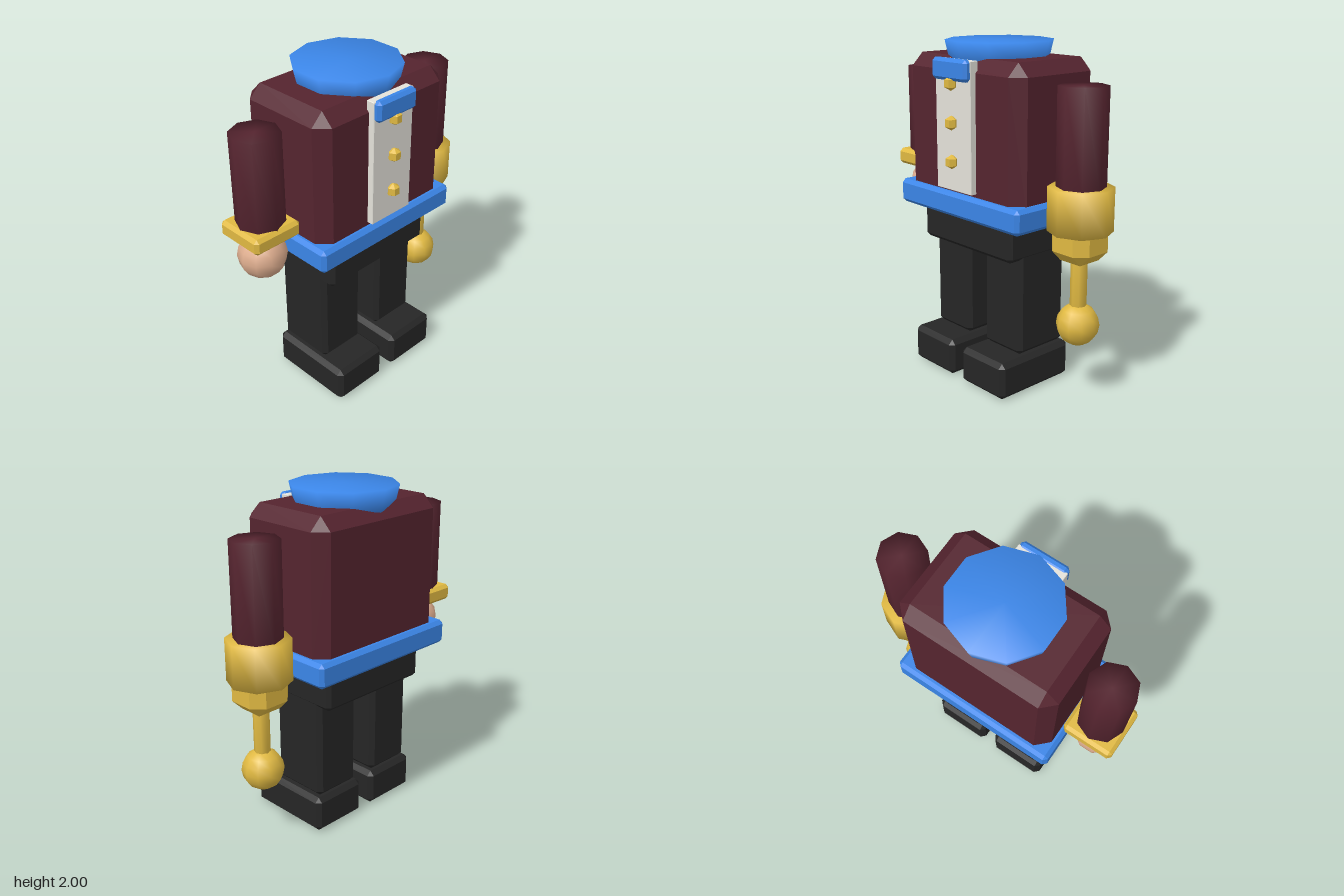
import * as THREE from 'three';
import { ConvexGeometry } from 'three/addons/geometries/ConvexGeometry.js';

function makeMaterial(name, color) {
  const m = new THREE.MeshStandardMaterial({ color });
  m.name = name;
  return m;
}

// Box given by its limits, with every edge cut by a single flat bevel
function bevelBox([x0, x1], [y0, y1], [z0, z1], b) {
  const c = [(x0 + x1) / 2, (y0 + y1) / 2, (z0 + z1) / 2];
  const h = [(x1 - x0) / 2, (y1 - y0) / 2, (z1 - z0) / 2];
  const points = [];
  for (const sx of [-1, 1]) for (const sy of [-1, 1]) for (const sz of [-1, 1]) {
    for (let axis = 0; axis < 3; axis++) {
      const s = [sx, sy, sz];
      const p = s.map((sign, i) => c[i] + sign * (h[i] - (i === axis ? 0 : b)));
      points.push(new THREE.Vector3(...p));
    }
  }
  return new ConvexGeometry(points);
}

// Turned solid with soft shading over its rims
function turned(profile, sides) {
  return new THREE.LatheGeometry(profile.map(([r, y]) => new THREE.Vector2(r, y)), sides);
}

function softCylinder(r, y0, y1, sides = 8) {
  return turned([[0, y0], [r, y0], [r, y1], [0, y1]], sides);
}

export function createModel() {
  const maroon = makeMaterial('maroon coat', 0x55242f);
  const blue = makeMaterial('blue trim', 0x3b86e8);
  const gold = makeMaterial('gold', 0xe0b942);
  const cream = makeMaterial('cream shirt', 0xe4e2da);
  const black = makeMaterial('black cloth', 0x262626);
  const skin = makeMaterial('skin', 0xdfae8f);

  const model = new THREE.Group();
  model.name = 'toySoldier';
  const add = (name, geometry, material, x = 0, y = 0, z = 0) => {
    const mesh = new THREE.Mesh(geometry, material);
    mesh.name = name;
    mesh.position.set(x, y, z);
    model.add(mesh);
  };
  const midX = -0.015, armZ = -0.027;

  // Legs and shoes, mirrored about the body's centre line
  for (const [side, s] of [['left', 1], ['right', -1]]) {
    const span = (a, b) => (s > 0 ? [midX + a, midX + b] : [midX - b, midX - a]);
    add(side + 'Shoe', bevelBox(span(0.04, 0.405), [0, 0.222], [-0.225, 0.327], 0.028), black);
    add(side + 'Leg', bevelBox(span(0.068, 0.375), [0.222, 0.86], [-0.205, 0.162], 0.028), black);
  }
  add('hips', bevelBox([-0.397, 0.366], [0.802, 1.08], [-0.288, 0.245], 0.024), black);

  // Coat and belt
  add('torso', bevelBox([-0.495, 0.465], [1.03, 1.915], [-0.337, 0.287], 0.073), maroon);
  add('belt', bevelBox([-0.53, 0.5], [1.008, 1.152], [-0.375, 0.322], 0.022), blue);

  // Shirt front, collar and buttons
  add('shirtFront', bevelBox([-0.163, 0.135], [1.17, 1.908], [0.27, 0.324], 0.003), cream);
  add('collar', bevelBox([-0.16, 0.132], [1.795, 1.915], [0.303, 0.36], 0.018), blue);
  for (const y of [1.34, 1.56, 1.78]) {
    const button = new THREE.SphereGeometry(0.042, 6, 3).toNonIndexed();
    button.computeVertexNormals();
    add('button', button, gold, midX, y, 0.336);
  }

  // Rounded neck bowl sunk into the shoulders
  add('neck', turned([[0, 1.78], [0.2, 1.78], [0.285, 1.88], [0.3125, 2], [0, 2]], 10),
    blue, midX, 0, -0.026);

  // Right arm with a square cuff and a hand
  add('rightArm', softCylinder(0.138, 1.2, 1.8), maroon, -0.662, 0, armZ);
  add('rightCuff', bevelBox([-0.818, -0.507], [1.172, 1.27], [-0.183, 0.125], 0.02), gold);
  add('rightHand', new THREE.SphereGeometry(0.14, 10, 8), skin, -0.664, 1.055, armZ);

  // Left arm with a mace in place of a hand
  const maceX = 0.634;
  add('leftArm', softCylinder(0.138, 1.2, 1.8), maroon, maceX, 0, armZ);
  add('leftCuff', softCylinder(0.183, 1.008, 1.258), gold, maceX, 0, armZ);
  add('maceSocket', bevelBox([maceX - 0.138, maceX + 0.138], [0.84, 1.12],
    [armZ - 0.138, armZ + 0.138], 0.064), gold);
  add('maceRod', softCylinder(0.047, 0.5, 0.9), gold, maceX, 0, armZ);
  add('maceBall', new THREE.SphereGeometry(0.123, 10, 8), gold, maceX, 0.463, armZ);

  return model;
}
